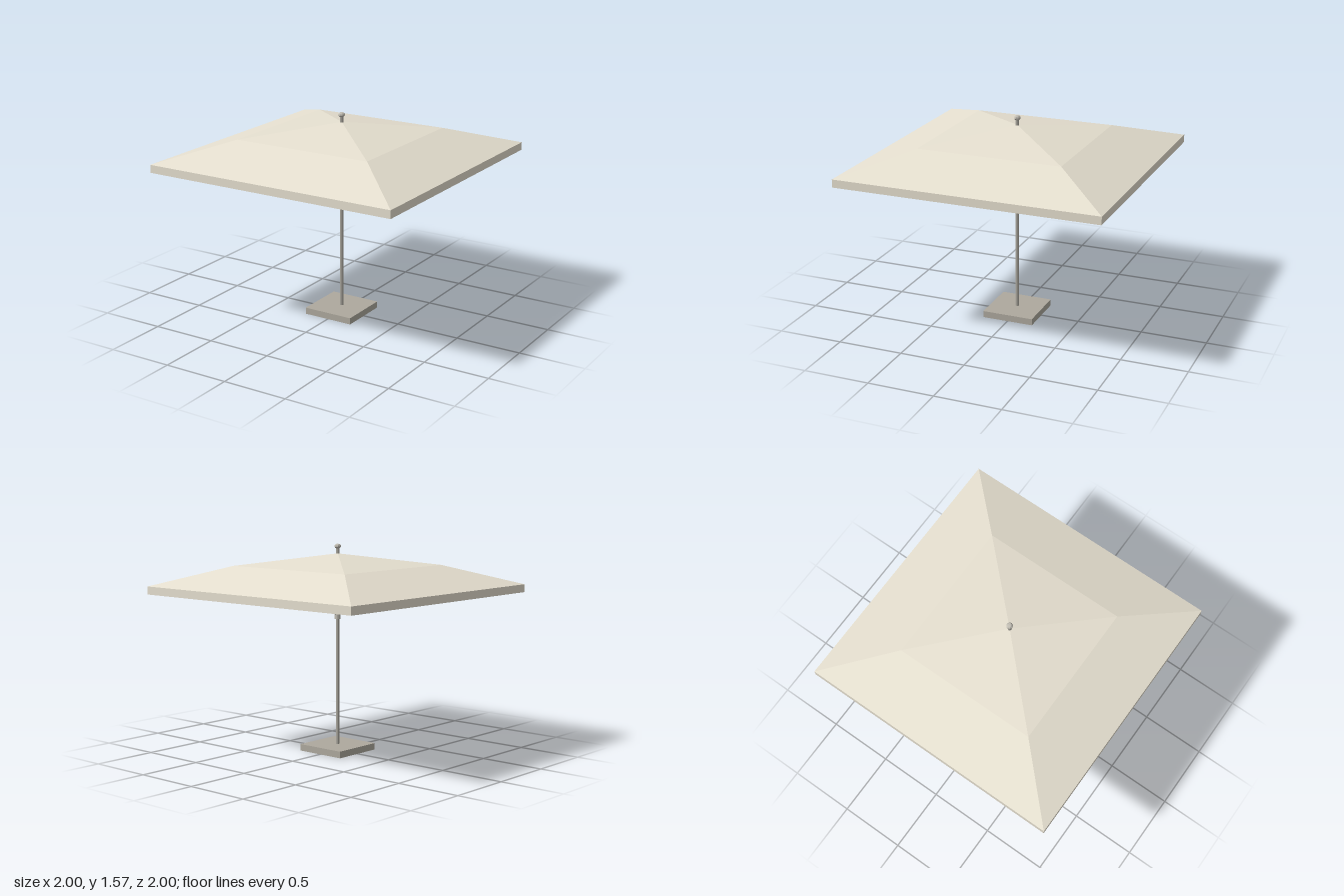
import * as THREE from 'three';

function flatMaterial(name, color, side = THREE.FrontSide) {
  const material = new THREE.MeshStandardMaterial({ color, side, flatShading: true });
  material.name = name;
  return material;
}
const canvas = flatMaterial('canvas', 0xe5dfcf, THREE.DoubleSide);
const stone = flatMaterial('stone', 0xaea99e, THREE.DoubleSide);
const poleMetal = flatMaterial('pole metal', 0xaaa79e);
const paleMetal = flatMaterial('pale metal', 0xc2beb4);

// Square shell swept through [halfWidth, y] rings, each side with its own flat faces
function squareShell(profile) {
  const corners = [[1, 1], [1, -1], [-1, -1], [-1, 1]];
  const positions = [];
  for (let i = 0; i < profile.length - 1; i++) {
    const [upperW, upperY] = profile[i];
    const [lowerW, lowerY] = profile[i + 1];
    for (let s = 0; s < 4; s++) {
      const p = corners[s], q = corners[(s + 1) % 4];
      const a = [p[0] * upperW, upperY, p[1] * upperW];
      const b = [p[0] * lowerW, lowerY, p[1] * lowerW];
      const c = [q[0] * lowerW, lowerY, q[1] * lowerW];
      const d = [q[0] * upperW, upperY, q[1] * upperW];
      positions.push(...a, ...b, ...c);
      if (upperW > 0) positions.push(...a, ...c, ...d);
    }
  }
  const geometry = new THREE.BufferGeometry();
  geometry.setAttribute('position', new THREE.Float32BufferAttribute(positions, 3));
  geometry.computeVertexNormals();
  return geometry;
}

export function createModel() {
  const model = new THREE.Group();
  model.name = 'parasol';

  function add(name, geometry, material, parent = model) {
    const mesh = new THREE.Mesh(geometry, material);
    mesh.name = name;
    parent.add(mesh);
    return mesh;
  }
  function upright(name, radius, bottom, top, material) {
    const mesh = add(name, new THREE.CylinderGeometry(radius, radius, top - bottom, 12), material);
    mesh.position.y = (bottom + top) / 2;
  }
  // Thin square bar between two points
  function bar(name, from, to, width, parent) {
    const a = new THREE.Vector3(...from), b = new THREE.Vector3(...to);
    const mesh = add(name, new THREE.BoxGeometry(width, a.distanceTo(b), width), paleMetal, parent);
    mesh.position.copy(a).add(b).multiplyScalar(0.5);
    mesh.quaternion.setFromUnitVectors(new THREE.Vector3(0, 1, 0), b.sub(a).normalize());
  }

  // Two-pitch roof with hanging valance, and hollow base plate
  add('canopy', squareShell([[0, 1.5], [0.55, 1.41], [1, 1.26], [1, 1.2]]), canvas);
  add('base', squareShell([[0, 0.05], [0.2, 0.05], [0.2, 0]]), stone);

  // Pole, sliding hub and faceted finial
  upright('pole', 0.014, 0.045, 1.54, poleMetal);
  upright('hub', 0.023, 1.007, 1.065, paleMetal);
  add('finial', new THREE.LatheGeometry([
    [0, 1.536], [0.015, 1.538], [0.024, 1.548], [0.024, 1.56], [0.015, 1.57], [0, 1.572],
  ].map(([x, y]) => new THREE.Vector2(x, y)), 8), paleMetal);

  // Eight ribs and struts; local x points outward, corner arms are longer
  for (let i = 0; i < 8; i++) {
    const corner = i % 2 === 1;
    const stretch = corner ? Math.SQRT2 : 1;
    const arm = new THREE.Group();
    arm.name = corner ? 'cornerArm' : 'sideArm';
    arm.rotation.y = i * Math.PI / 4;
    model.add(arm);
    const knee = [0.55 * stretch, 1.402, 0];
    bar('innerRib', [0.01, 1.49, 0], knee, 0.01, arm);
    bar('outerRib', knee, [0.98 * stretch, 1.258, 0], 0.01, arm);
    bar('strut', [0.018, 1.045, 0], corner ? [0.65, 1.415, 0] : [0.6, 1.382, 0], 0.009, arm);
  }
  return model;
}
